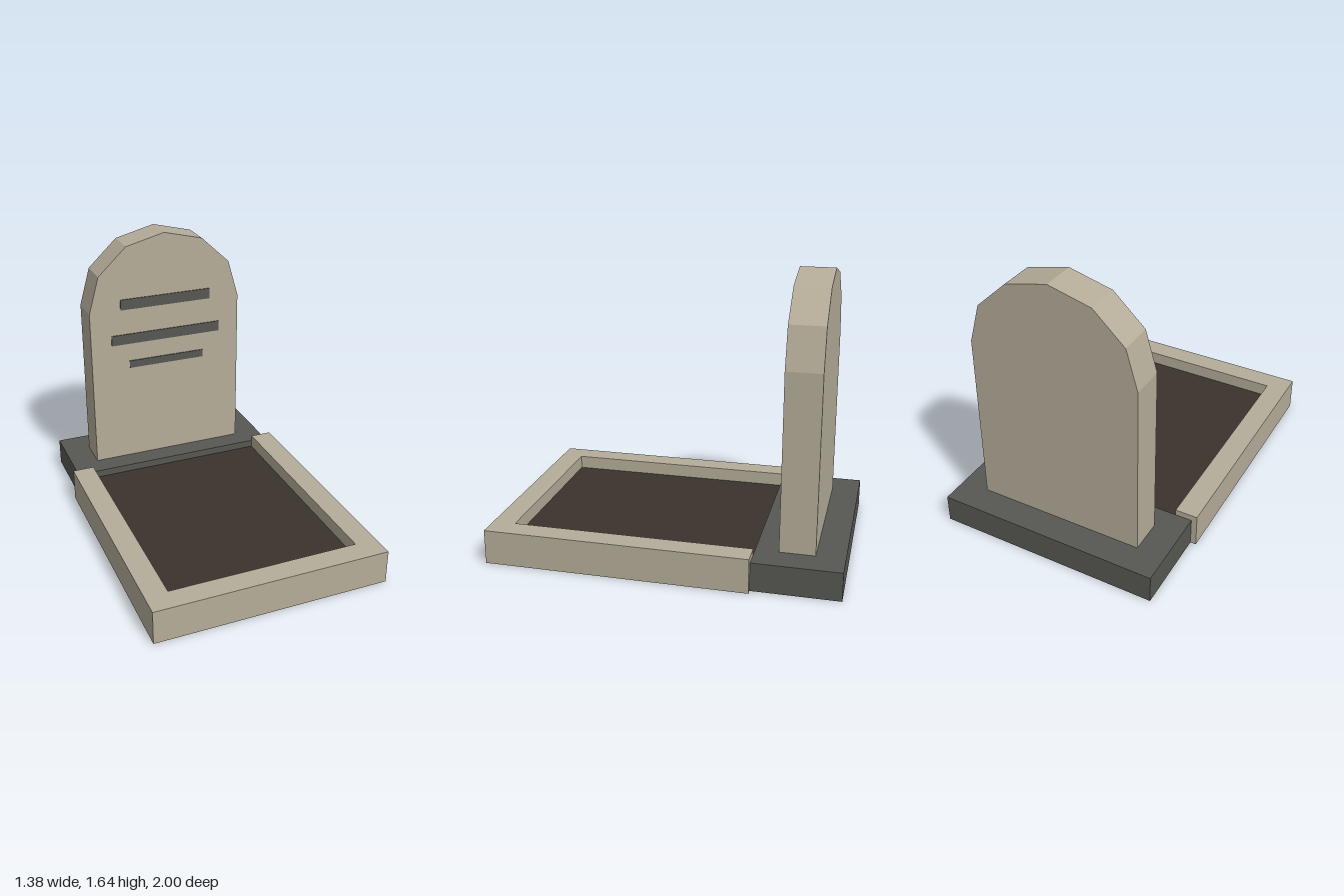
import * as THREE from 'three';

export function createModel() {
  const group = new THREE.Group();
  group.name = 'grave';

  const paleStone = new THREE.MeshStandardMaterial({ name: 'paleStone', color: 0xb5ad99 });
  const darkStone = new THREE.MeshStandardMaterial({ name: 'darkStone', color: 0x575853 });
  const soilBrown = new THREE.MeshStandardMaterial({ name: 'soilBrown', color: 0x3b322c });

  const add = (name, geometry, material) => {
    const mesh = new THREE.Mesh(geometry, material);
    mesh.name = name;
    group.add(mesh);
    return mesh;
  };
  // Box given by its minimum and maximum corners
  const box = (name, material, [x0, y0, z0], [x1, y1, z1]) =>
    add(name, new THREE.BoxGeometry(x1 - x0, y1 - y0, z1 - z0), material)
      .position.set((x0 + x1) / 2, (y0 + y1) / 2, (z0 + z1) / 2);

  // Plinth under the headstone
  box('plinth', darkStone, [-0.655, 0, -1], [0.655, 0.165, -0.508]);

  // U-shaped kerb, open towards the plinth; shape y becomes -z
  const kerbShape = new THREE.Shape([
    [-0.688, -1], [0.688, -1], [0.688, 0.508], [0.557, 0.508],
    [0.557, -0.868], [-0.557, -0.868], [-0.557, 0.508], [-0.688, 0.508],
  ].map(([x, y]) => new THREE.Vector2(x, y)));
  const kerb = new THREE.ExtrudeGeometry(kerbShape, { depth: 0.2, bevelEnabled: false });
  kerb.rotateX(-Math.PI / 2);
  add('kerb', kerb, paleStone);

  // Soil bed inside the kerb
  box('soil', soilBrown, [-0.557, 0, -0.508], [0.557, 0.12, 0.868]);

  // Headstone with a six-sided arched top
  const outline = [new THREE.Vector2(-0.492, 0.165), new THREE.Vector2(0.492, 0.165)];
  for (let i = 0; i <= 6; i++) {
    const a = (i / 6) * Math.PI;
    outline.push(new THREE.Vector2(0.492 * Math.cos(a), 1.18 + 0.462 * Math.sin(a)));
  }
  const headstone = new THREE.ExtrudeGeometry(new THREE.Shape(outline), { depth: 0.2, bevelEnabled: false });
  headstone.translate(0, 0, -0.838);
  add('headstone', headstone, paleStone);

  // Plain inscription bars: half width, bottom, top
  [[0.295, 1.183, 1.25], [0.36, 0.955, 1.02], [0.247, 0.79, 0.838]].forEach(([w, y0, y1], i) =>
    box(`inscriptionBar${i + 1}`, darkStone, [-w, y0, -0.64], [w, y1, -0.632]));

  return group;
}
